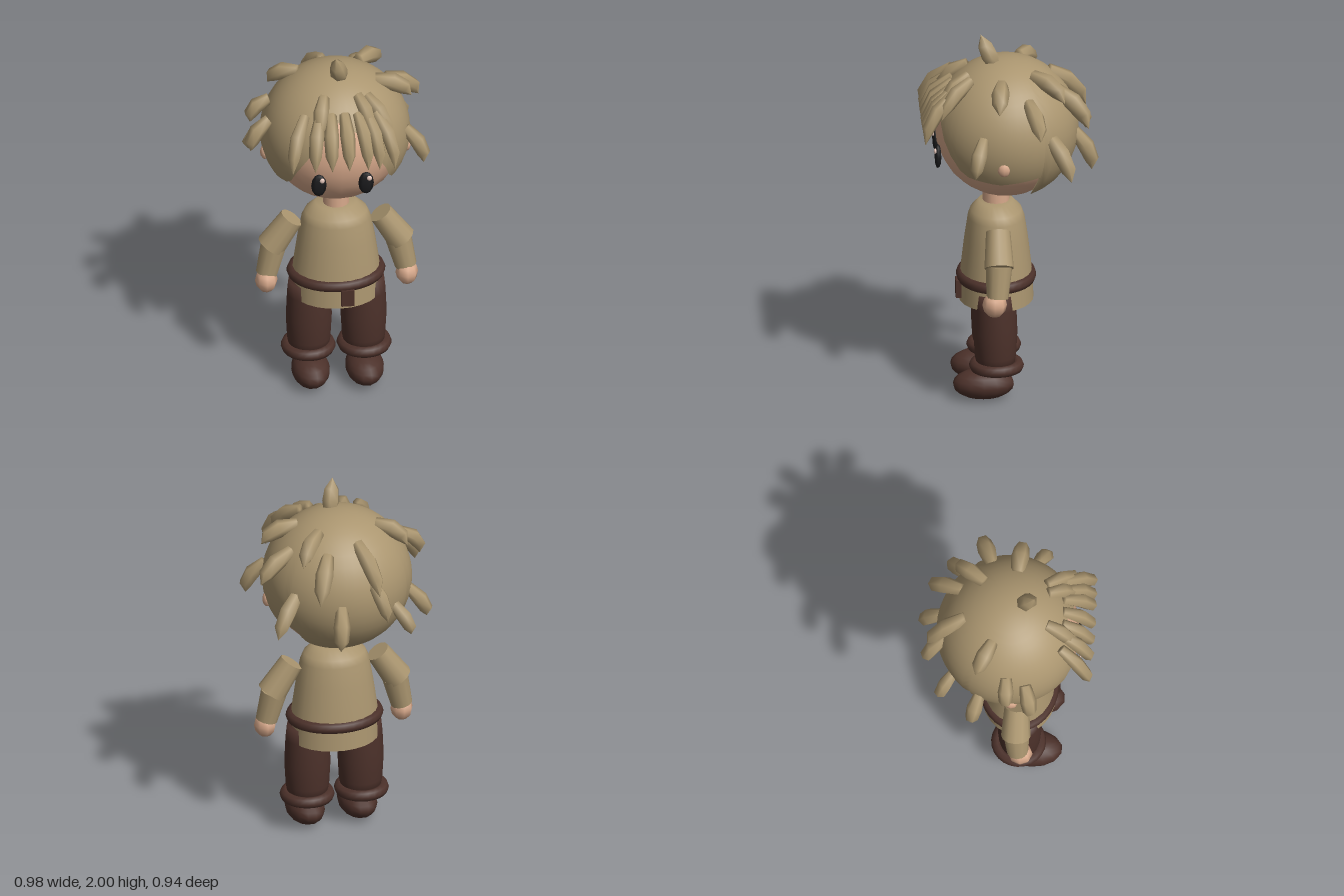
import * as THREE from 'three';

const mat = (name, color, side = THREE.FrontSide) => {
  const m = new THREE.MeshStandardMaterial({ color, side });
  m.name = name;
  return m;
};
const V = (x, y, z) => new THREE.Vector3(x, y, z);
const HEAD = V(0, 1.488, 0);

// Lower edge height of the hair by angle from the front, in degrees
const HAIR_EDGE = [[0, 1.73], [15, 1.65], [25, 1.54], [48, 1.31], [82, 1.28], [120, 1.31], [128, 1.15], [180, 1.14]];
function edgeHeight(deg) {
  for (let i = 1; i < HAIR_EDGE.length; i++) {
    const [a, ya] = HAIR_EDGE[i - 1], [b, yb] = HAIR_EDGE[i];
    if (deg <= b) return ya + (yb - ya) * (deg - a) / (b - a);
  }
  return 1.14;
}

// Hair shell: a sphere whose rows are squeezed to end at the hair edge
function hairCap(r) {
  const cols = 48;
  const g = new THREE.SphereGeometry(1, cols, 16, 0, Math.PI * 2, 0, 3);
  const p = g.attributes.position, n = g.attributes.normal;
  for (let i = 0; i < p.count; i++) {
    const phi = (i % (cols + 1)) / cols * Math.PI * 2;
    const t = Math.floor(i / (cols + 1)) / 16;
    const dx = -Math.cos(phi), dz = Math.sin(phi);
    const deg = Math.abs(Math.atan2(dx, dz)) * 180 / Math.PI;
    const theta = t * Math.acos(Math.max(-1, (edgeHeight(deg) - HEAD.y) / r));
    const d = V(dx * Math.sin(theta), Math.cos(theta), dz * Math.sin(theta));
    p.setXYZ(i, d.x * r * 1.03, d.y * r, d.z * r);
    n.setXYZ(i, d.x, d.y, d.z);
  }
  return g;
}

// Pointed hair lock, swept with six sides along a bowed path
function lock(base, tip, r, bow = 0.07) {
  const mid = base.clone().lerp(tip, 0.5);
  const up0 = mid.clone().sub(HEAD).normalize();
  const curve = new THREE.QuadraticBezierCurve3(base, mid.addScaledVector(up0, bow), tip);
  const rings = [[0, 0], [0, 0.7], [0.35, 1], [0.7, 0.85], [1, 0]];
  const pos = [], idx = [];
  rings.forEach(([t, k], i) => {
    const c = curve.getPoint(t), dir = curve.getTangent(t);
    const side = up0.clone().cross(dir).normalize();
    const up = dir.clone().cross(side);
    for (let j = 0; j < 6; j++) {
      const a = j / 6 * Math.PI * 2;
      const q = c.clone().addScaledVector(side, Math.cos(a) * r * k).addScaledVector(up, Math.sin(a) * r * k);
      pos.push(q.x, q.y, q.z);
      if (i < rings.length - 1) {
        const s = i * 6 + j, e = i * 6 + (j + 1) % 6;
        idx.push(s, e, s + 6, e, e + 6, s + 6);
      }
    }
  });
  const g = new THREE.BufferGeometry();
  g.setAttribute('position', new THREE.Float32BufferAttribute(pos, 3));
  g.setIndex(idx);
  g.computeVertexNormals();
  return g;
}

export function createModel() {
  const group = new THREE.Group();
  const tan = mat('tan hair and cloth', 0xab9670, THREE.DoubleSide);
  const skin = mat('skin', 0xd9aa8c);
  const brown = mat('dark brown leather', 0x4c312a);
  const black = mat('eye black', 0x1b1b1d);
  const shine = mat('eye shine', 0xe6c8bc);

  const add = (name, geo, m, x = 0, y = 0, z = 0, parent = group) => {
    const mesh = new THREE.Mesh(geo, m);
    mesh.name = name;
    mesh.position.set(x, y, z);
    parent.add(mesh);
    return mesh;
  };
  const ball = (name, m, x, y, z, sx, sy, sz, ws = 12, hs = 8) => {
    const b = add(name, new THREE.SphereGeometry(1, ws, hs), m, x, y, z);
    b.scale.set(sx, sy, sz);
    return b;
  };
  const lathe = (pts) => new THREE.LatheGeometry(pts.map(([r, y]) => new THREE.Vector2(r, y)), 24);
  // Tapered cylinder between two points
  const limb = (name, a, b, ra, rb, m) => {
    const d = b.clone().sub(a), c = a.clone().lerp(b, 0.5);
    const l = add(name, new THREE.CylinderGeometry(rb, ra, d.length(), 12), m, c.x, c.y, c.z);
    l.quaternion.setFromUnitVectors(V(0, 1, 0), d.normalize());
  };

  // Head
  ball('head', skin, 0, HEAD.y, 0, 0.372, 0.372, 0.372, 20, 14);
  add('hairCap', hairCap(0.385), tan, 0, HEAD.y, 0);
  add('neck', new THREE.CylinderGeometry(0.07, 0.07, 0.12, 16), skin, 0, 1.1, 0.05);

  // Hair locks: base, tip, radius
  const hair = new THREE.Group();
  hair.name = 'hairLocks';
  group.add(hair);
  const locks = [
    // second row of the fringe
    [-0.08, 1.81, 0.2, -0.12, 1.63, 0.35, 0.042],
    [0.1, 1.81, 0.2, 0.16, 1.63, 0.34, 0.042],
    [0.15, 1.8, 0.19, 0.26, 1.62, 0.35, 0.042],
    // back
    [-0.05, 1.78, -0.23, -0.12, 1.55, -0.43, 0.048],
    [-0.1, 1.6, -0.33, -0.16, 1.4, -0.43, 0.042],
    [0.07, 1.48, -0.36, 0.1, 1.27, -0.45, 0.045],
    [0.12, 1.74, -0.26, 0.205, 1.54, -0.43, 0.048],
    [-0.23, 1.43, -0.28, -0.31, 1.27, -0.35, 0.04],
    // sides
    [0.14, 1.82, -0.14, 0.265, 1.71, -0.3, 0.048],
    [0.27, 1.53, -0.22, 0.41, 1.32, -0.33, 0.048],
    [0.28, 1.72, -0.11, 0.46, 1.57, -0.165, 0.048],
    [0.21, 1.8, 0.03, 0.4, 1.7, 0.05, 0.048],
    [0.36, 1.55, 0.13, 0.45, 1.36, 0.18, 0.042],
    [-0.19, 1.81, -0.08, -0.34, 1.7, -0.165, 0.045],
    [-0.35, 1.44, -0.14, -0.44, 1.28, -0.18, 0.042],
    [-0.35, 1.7, 0.0, -0.45, 1.56, 0.0, 0.042],
    [-0.36, 1.63, 0.1, -0.46, 1.46, 0.13, 0.044],
  ];
  for (const [a, b, c, d, e, f, r] of locks) add('hairLock', lock(V(a, b, c), V(d, e, f), r), tan, 0, 0, 0, hair);
  // Fringe row: root x, tip x
  for (const [a, b] of [[-0.19, -0.27], [-0.11, -0.15], [-0.05, -0.06], [0.02, 0.03], [0.09, 0.13], [0.14, 0.19], [0.19, 0.27]]) {
    add('fringeLock', lock(V(a, 1.75, 0.28), V(b, 1.49, 0.435), 0.04, 0.09), tan, 0, 0, 0, hair);
  }
  add('topTuft', lock(V(0.025, 1.83, 0.06), V(-0.01, 2, 0.13), 0.048, -0.01), tan, 0, 0, 0, hair);

  // Torso, tunic skirt, belt and buckle
  const torso = add('tunic', lathe([[0.235, 0.64], [0.225, 0.72], [0.205, 0.86], [0.183, 0.98], [0.165, 1.02], [0.11, 1.07], [0, 1.07]]), tan, 0, 0, 0.05);
  torso.scale.z = 0.82;
  const skirt = add('tunicSkirt', lathe([[0.235, 0.52], [0.228, 0.65]]), tan, 0, 0, 0.05);
  skirt.scale.z = 0.84;
  const belt = add('belt', new THREE.TorusGeometry(0.23, 0.031, 8, 32), brown, 0, 0.65, 0.05);
  belt.rotation.x = Math.PI / 2;
  belt.scale.y = 0.81;
  add('buckle', new THREE.BoxGeometry(0.07, 0.095, 0.03), brown, 0.04, 0.59, 0.25);

  for (const s of [-1, 1]) {
    const side = s > 0 ? 'left' : 'right';
    // Face details
    ball(side + 'Eye', black, s * 0.125, 1.37, 0.362, 0.041, 0.067, 0.02, 6, 6);
    ball(side + 'EyeShine', shine, s * 0.125 + 0.016, 1.405, 0.377, 0.014, 0.015, 0.008, 8, 6);
    ball(side + 'Ear', skin, s * 0.375, 1.385, 0.025, 0.025, 0.04, 0.035, 8, 6);
    // Arm
    limb(side + 'UpperArm', V(s * 0.235, 0.98, 0.05), V(s * 0.345, 0.815, 0.05), 0.064, 0.078, tan);
    limb(side + 'Forearm', V(s * 0.33, 0.82, 0.05), V(s * 0.368, 0.655, 0.06), 0.07, 0.058, tan);
    ball(side + 'Hand', skin, s * 0.372, 0.62, 0.075, 0.06, 0.07, 0.065, 8, 6);
    // Leg, cuff and shoe
    add(side + 'Leg', lathe([[0, 0.16], [0.1, 0.16], [0.115, 0.25], [0.122, 0.38], [0.116, 0.52], [0.108, 0.6], [0, 0.6]]), brown, s * 0.145, 0, 0.06).scale.z = 0.95;
    const cuff = add(side + 'Cuff', new THREE.TorusGeometry(0.114, 0.031, 8, 24), brown, s * 0.148, 0.19, 0.055);
    cuff.rotation.x = Math.PI / 2;
    ball(side + 'Shoe', brown, s * 0.143, 0.083, 0.123, 0.102, 0.083, 0.163, 14, 10);
  }
  return group;
}
